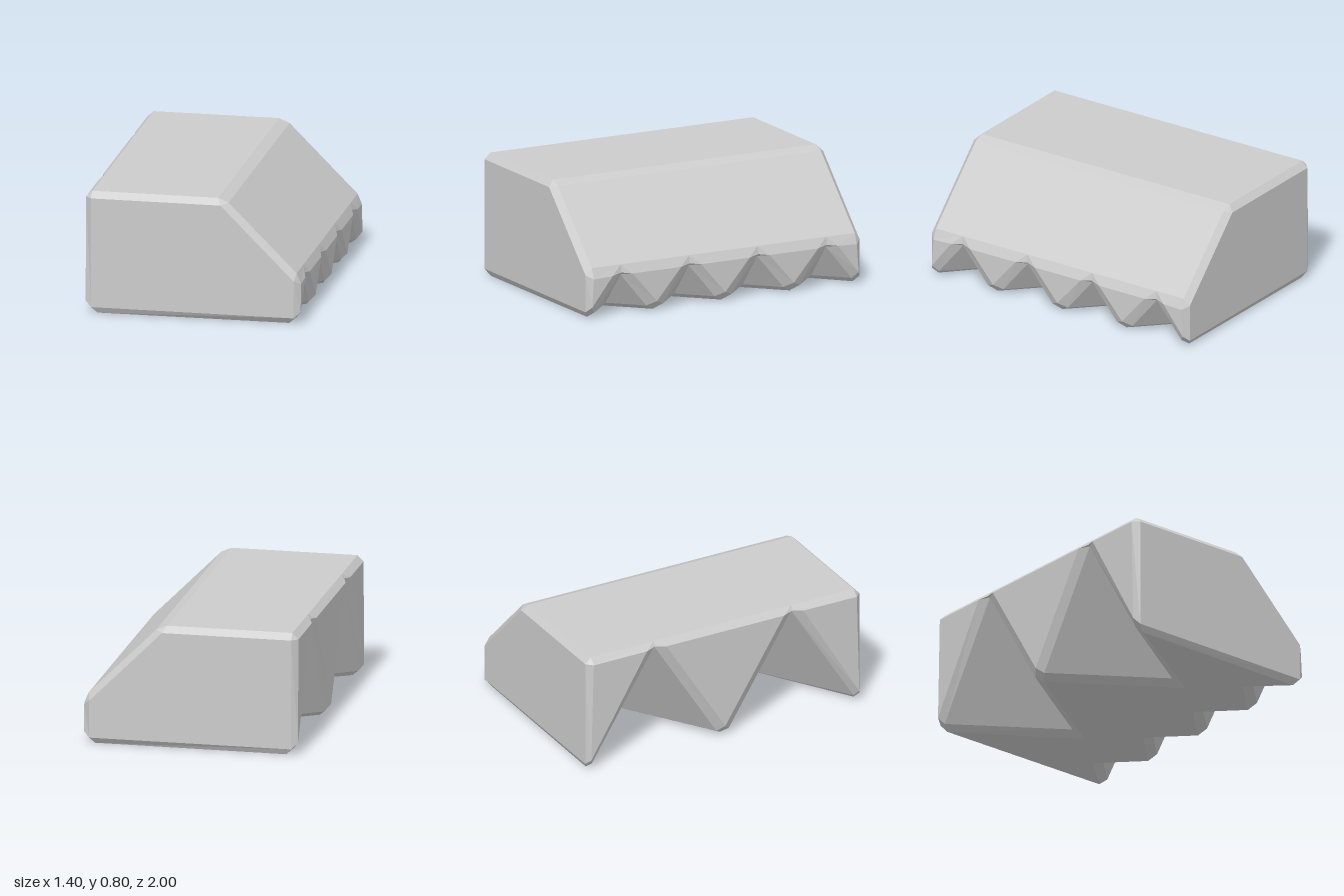
import * as THREE from 'three';

const BEVEL = 0.04;
const V = (x, y, z) => new THREE.Vector3(x, y, z);
const key = (p) => p.toArray().map((n) => Math.round(n * 1000)).join();
const edgeKey = (a, b) => key(a) + '|' + key(b);

// One side wall cut by a row of pointed notches: teeth, notch faces and outlines
function notchRow(s, x, height, depth, halfWidth, centres) {
  const faces = [], creases = [], bottom = [];
  const add = (...pts) => faces.push(s > 0 ? pts : pts.reverse());
  const tops = [-1, ...centres, 1].map((z) => V(x, height, z));
  const tips = [...centres.map((c) => c - halfWidth), 1].map((z) => V(x, 0, z));
  tips.forEach((tip, i) => {
    add(tip, tops[i], tops[i + 1]);
    bottom.push(tip);
    if (i === centres.length) return;
    const apex = tops[i + 1];
    const inner = V(x - s * depth, 0, centres[i]);
    add(apex, inner, tip);
    add(apex, tips[i + 1], inner);
    creases.push(edgeKey(apex, inner), edgeKey(inner, apex));
    bottom.push(inner);
  });
  return { faces, creases, tops, bottom };
}

function faceNormal(pts) {
  const n = V(0, 0, 0);
  pts.forEach((p, i) => n.add(p.clone().cross(pts[(i + 1) % pts.length])));
  return n.normalize();
}

// Chamfers every edge of a closed polyhedron except the listed creases
function bevelledGeometry(polygons, creases) {
  const sharp = new Set(creases);
  const out = [];
  const tri = (a, b, c) => {
    const area = b.clone().sub(a).cross(c.clone().sub(a)).length();
    if (area > 1e-7) out.push(...a.toArray(), ...b.toArray(), ...c.toArray());
  };
  const owner = new Map(); // directed edge -> its face and index
  const faces = polygons.map((pts) => {
    const n = faceNormal(pts), count = pts.length;
    const edges = pts.map((p, i) => {
      const q = pts[(i + 1) % count];
      return {
        inward: n.clone().cross(q.clone().sub(p)).normalize(),
        offset: sharp.has(edgeKey(p, q)) ? 0 : BEVEL,
      };
    });
    const inset = pts.map((p, i) => {
      const e = edges[(i + count - 1) % count], f = edges[i];
      const c = e.inward.dot(f.inward), k = 1 - c * c;
      const move = k < 1e-6
        ? f.inward.clone().multiplyScalar(f.offset)
        : e.inward.clone().multiplyScalar((e.offset - c * f.offset) / k)
          .addScaledVector(f.inward, (f.offset - c * e.offset) / k);
      return move.clampLength(0, 2 * BEVEL).add(p);
    });
    const face = { pts, n, inset, count };
    pts.forEach((p, i) => owner.set(edgeKey(p, pts[(i + 1) % count]), { face, i }));
    return face;
  });

  const capped = new Set();
  faces.forEach((face) => {
    const { pts, n, inset, count } = face;
    // Flat face
    const u = pts[1].clone().sub(pts[0]).normalize(), v = n.clone().cross(u);
    const flat = inset.map((p) => new THREE.Vector2(p.dot(u), p.dot(v)));
    THREE.ShapeUtils.triangulateShape(flat, []).forEach(([a, b, c]) => {
      const ab = flat[b].clone().sub(flat[a]), ac = flat[c].clone().sub(flat[a]);
      if (ab.cross(ac) > 0) tri(inset[a], inset[b], inset[c]);
      else tri(inset[a], inset[c], inset[b]);
    });
    pts.forEach((p, i) => {
      const j = (i + 1) % count;
      // Edge chamfer, made once per edge
      if (key(p) < key(pts[j])) {
        const { face: g, i: gi } = owner.get(edgeKey(pts[j], p));
        const gb = g.inset[gi], ga = g.inset[(gi + 1) % g.count];
        tri(inset[j], inset[i], ga);
        tri(inset[j], ga, gb);
      }
      // Corner cap, made once per corner
      if (capped.has(key(p))) return;
      capped.add(key(p));
      const ring = [];
      let f = face, k = i;
      do {
        ring.unshift(f.inset[k]);
        const next = owner.get(edgeKey(f.pts[(k + 1) % f.count], p));
        f = next.face;
        k = (next.i + 1) % f.count;
      } while (f !== face && ring.length < 12);
      const mid = V(0, 0, 0);
      ring.forEach((r) => mid.addScaledVector(r, 1 / ring.length));
      ring.forEach((r, m) => tri(mid, r, ring[(m + 1) % ring.length]));
    });
  });
  const geometry = new THREE.BufferGeometry();
  geometry.setAttribute('position', new THREE.Float32BufferAttribute(out, 3));
  geometry.computeVertexNormals();
  return geometry;
}

export function createModel() {
  // Four small notches on the low side, two tall ones on the high side
  const low = notchRow(1, 0.7, 0.3, 0.25, 0.25, [-0.75, -0.25, 0.25, 0.75]);
  const high = notchRow(-1, -0.7, 0.8, 0.75, 0.5, [-0.5, 0.5]);
  const ridge = [V(0.2, 0.8, -1), V(0.2, 0.8, 1)];
  const end = (z) => [V(-0.7, 0, z), V(0.7, 0, z), V(0.7, 0.3, z), V(0.2, 0.8, z), V(-0.7, 0.8, z)];
  const polygons = [
    ...low.faces,
    ...high.faces,
    [ridge[1], ridge[0], ...high.tops],              // top
    [ridge[0], ridge[1], ...[...low.tops].reverse()], // slope
    [...low.bottom, ...[...high.bottom].reverse()],  // underside
    end(1),
    end(-1).reverse(),
  ];
  const body = new THREE.Mesh(
    bevelledGeometry(polygons, [...low.creases, ...high.creases]),
    new THREE.MeshStandardMaterial({ color: 0xcccccc, flatShading: true }),
  );
  body.name = 'notchedBlock';
  const group = new THREE.Group();
  group.name = 'notchedWedgeBlock';
  group.add(body);
  return group;
}
